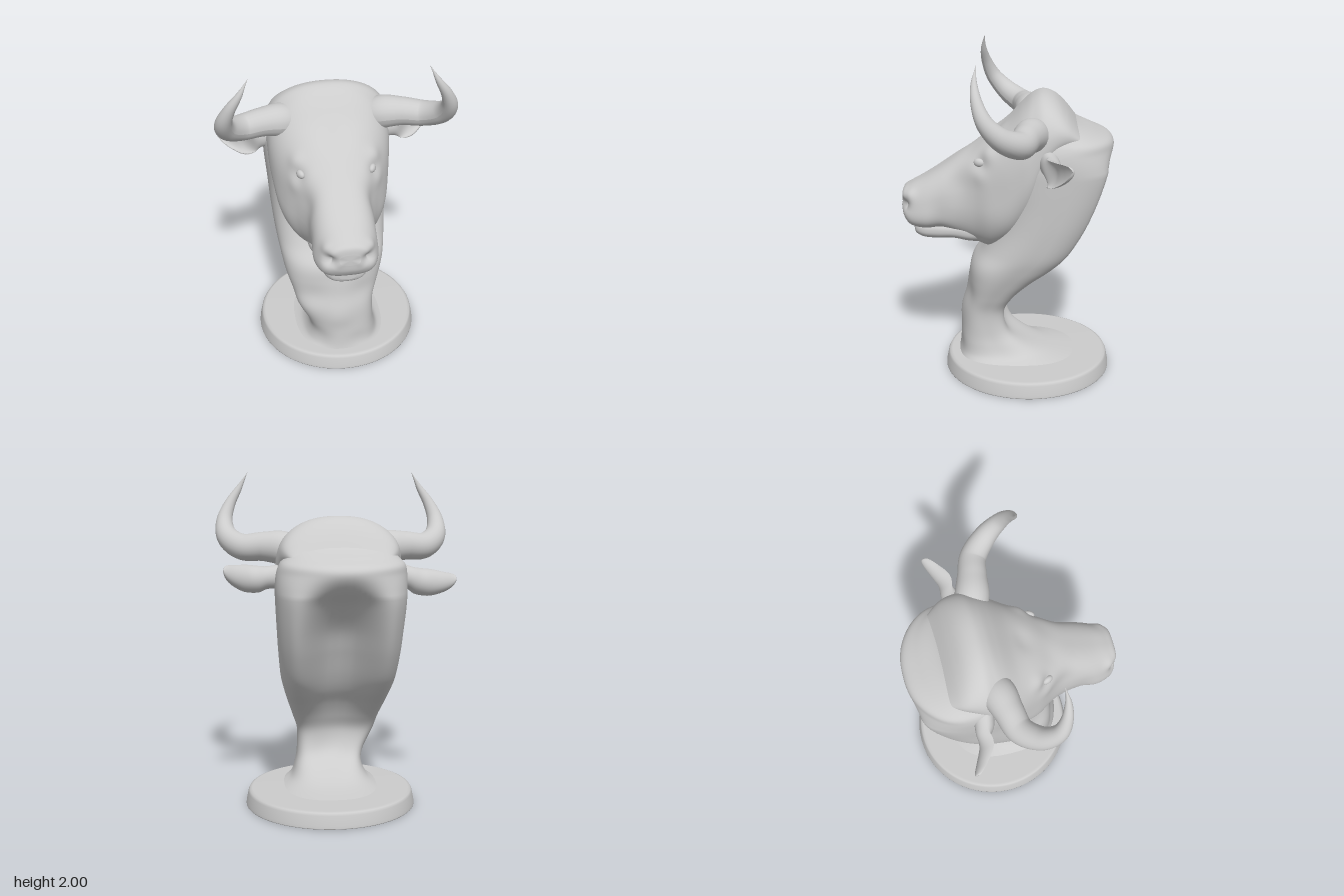
import * as THREE from 'three';

const material = new THREE.MeshStandardMaterial({ color: 0xcccccc, roughness: 0.75 });
const V = (x, y, z) => new THREE.Vector3(x, y, z);

// Smoothly interpolate a table of section rows at t in 0..1
function sample(rows, t) {
  const f = t * (rows.length - 1), i = Math.min(Math.floor(f), rows.length - 2), u = f - i;
  const at = k => rows[Math.max(0, Math.min(rows.length - 1, k))];
  return rows[0].map((_, c) => {
    const p0 = at(i - 1)[c], p1 = at(i)[c], p2 = at(i + 1)[c], p3 = at(i + 2)[c];
    return p1 + 0.5 * u * (p2 - p0 + u * (2 * p0 - 5 * p1 + 4 * p2 - p3 + u * (3 * (p1 - p2) + p3 - p0)));
  });
}

// Skin closed rings, cap both ends, and turn the faces outward
function loft(rings) {
  const n = rings[0].length, pos = [], idx = [];
  rings.forEach(r => r.forEach(p => pos.push(p.x, p.y, p.z)));
  for (let i = 0; i < rings.length - 1; i++) {
    for (let j = 0; j < n; j++) {
      const a = i * n + j, b = i * n + (j + 1) % n;
      idx.push(a, b, a + n, b, b + n, a + n);
    }
  }
  [0, rings.length - 1].forEach((k, end) => {
    const c = V(0, 0, 0), ci = pos.length / 3;
    rings[k].forEach(p => c.addScaledVector(p, 1 / n));
    pos.push(c.x, c.y, c.z);
    for (let j = 0; j < n; j++) {
      const a = k * n + j, b = k * n + (j + 1) % n;
      if (end) idx.push(ci, a, b); else idx.push(ci, b, a);
    }
  });
  let volume = 0;
  const pt = i => V(pos[3 * i], pos[3 * i + 1], pos[3 * i + 2]);
  for (let i = 0; i < idx.length; i += 3) volume += pt(idx[i]).dot(pt(idx[i + 1]).cross(pt(idx[i + 2])));
  if (volume < 0) idx.reverse();
  const g = new THREE.BufferGeometry();
  g.setAttribute('position', new THREE.Float32BufferAttribute(pos, 3));
  g.setIndex(idx);
  g.computeVertexNormals();
  return g;
}

// Push the surface along its normals around points: [x, y, z, radius, amount], mirrored about cx
function sculpt(g, dabs, cx) {
  const p = g.attributes.position, nrm = g.attributes.normal;
  for (let i = 0; i < p.count; i++) {
    const v = V().fromBufferAttribute(p, i), d = V().fromBufferAttribute(nrm, i);
    let s = 0;
    for (const [x, y, z, r, amount] of dabs) {
      s += amount * Math.exp(-V(Math.abs(v.x - cx), v.y, v.z).distanceToSquared(V(x, y, z)) / (r * r));
    }
    v.addScaledVector(d, s);
    p.setXYZ(i, v.x, v.y, v.z);
  }
  g.computeVertexNormals();
  return g;
}

const power = (v, n) => Math.sign(v) * Math.pow(Math.abs(v), 2 / n);

// Upright sections along z: [z, top, bottom, half width, taper, squareness]
function headLoft(rows, cx, steps) {
  const rings = [];
  for (let i = 0; i <= steps; i++) {
    const [z, top, bottom, w, taper, n] = sample(rows, i / steps), ring = [];
    for (let j = 0; j < 96; j++) {
      const a = j / 96 * Math.PI * 2, s = power(Math.sin(a), n);
      ring.push(V(cx + w * power(Math.cos(a), n) * (1 + taper * s), (top + bottom) / 2 + s * (top - bottom) / 2, z));
    }
    rings.push(ring);
  }
  return loft(rings);
}

// Level sections up the neck, scooped out behind: [y, cx, half width, front z, back z, hollow, rear taper]
function neckLoft(rows, steps) {
  const rings = [];
  for (let i = 0; i <= steps; i++) {
    const [y, cx, w, zf, zb, hollow, taper] = sample(rows, i / steps), ring = [];
    for (let j = 0; j < 96; j++) {
      const a = j / 96 * Math.PI * 2, n = Math.sin(a) > 0 ? 2.5 : 2.5 + THREE.MathUtils.clamp(hollow * 8, 0, 1);
      const u = power(Math.cos(a), n), s = power(Math.sin(a), n);
      let z = (zf + zb) / 2 + s * (zf - zb) / 2;
      if (s < 0) z += hollow * Math.pow(Math.max(0, 1 - (u / 0.9) ** 2), 1.7);
      ring.push(V(cx + w * u * (1 - taper * Math.min(0, s) ** 2), y, z));
    }
    rings.push(ring);
  }
  return loft(rings);
}

// Tapered horn: a unit tube shrunk towards its path, its root buried in the skull
function hornGeometry(side) {
  const path = new THREE.CatmullRomCurve3([
    [0.2, 1.515, -0.19], [0.3, 1.56, -0.145], [0.42, 1.57, -0.115], [0.54, 1.565, -0.08], [0.63, 1.62, 0.02],
    [0.648, 1.71, 0.105], [0.615, 1.81, 0.15], [0.555, 1.91, 0.168], [0.505, 2.0, 0.16],
  ].map(([x, y, z]) => V(side * x, y, z)));
  const radii = [[0.085], [0.1], [0.086], [0.078], [0.068], [0.053], [0.037], [0.021], [0.001]];
  const g = new THREE.TubeGeometry(path, 64, 1, 24), p = g.attributes.position;
  for (let i = 0; i < p.count; i++) {
    const t = Math.floor(i / 25) / 64, c = path.getPointAt(t), v = V().fromBufferAttribute(p, i);
    v.sub(c).multiplyScalar(sample(radii, t)[0]).add(c);
    p.setXYZ(i, v.x, v.y, v.z);
  }
  g.computeVertexNormals();
  return g;
}

// Cupped leaf-shaped ear with a rounded tip, measured from its root: [x, y, z, half height]
function earGeometry(side) {
  const rows = [[-0.06, 0.01, 0.02, 0.075], [0.03, 0.005, 0.005, 0.066], [0.09, -0.006, -0.008, 0.078],
    [0.16, 0, -0.035, 0.08], [0.215, 0.015, -0.067, 0.067], [0.258, 0.035, -0.095, 0.05],
    [0.28, 0.05, -0.11, 0.03], [0.288, 0.056, -0.115, 0.002]];
  const rings = [];
  for (let i = 0; i <= 48; i++) {
    const [x, y, z, a] = sample(rows, i / 48), cup = THREE.MathUtils.smoothstep(i / 48, 0.12, 0.4), ring = [];
    for (let j = 0; j < 32; j++) {
      const q = j / 32 * Math.PI * 2, c = Math.cos(q);
      const depth = c > 0 ? THREE.MathUtils.lerp(0.7, -0.65, cup) * c : c;
      ring.push(V(side * x, y + a * Math.sin(q), z + a * (depth + 0.55 * cup)));
    }
    rings.push(ring);
  }
  return loft(rings);
}

export function createModel() {
  const model = new THREE.Group();
  const add = (name, geometry) => {
    const mesh = new THREE.Mesh(geometry, material);
    mesh.name = name;
    model.add(mesh);
    return mesh;
  };

  // Round plinth with a softened rim
  const plinth = add('plinth', new THREE.LatheGeometry([[0, 0], [0.515, 0], [0.515, 0.004], [0.513, 0.02],
    [0.502, 0.075], [0.494, 0.09], [0.478, 0.096], [0, 0.098]].map(([x, y]) => new THREE.Vector2(x, y)), 96));
  plinth.position.set(0.025, 0, -0.125);

  // Neck leaning back from a flared foot to the poll
  const neck = neckLoft([
    [0.085, 0.02, 0.31, 0.31, -0.5, 0, 0], [0.125, 0.02, 0.24, 0.303, -0.26, 0, 0], [0.2, 0.02, 0.208, 0.295, -0.11, 0.03, 0],
    [0.28, 0.005, 0.21, 0.285, -0.03, 0.05, 0], [0.4, -0.025, 0.24, 0.277, -0.012, 0.06, 0], [0.5, -0.025, 0.268, 0.258, -0.07, 0.08, 0.03],
    [0.6, -0.025, 0.298, 0.243, -0.175, 0.13, 0.06], [0.7, -0.022, 0.325, 0.22, -0.32, 0.2, 0.1], [0.8, -0.02, 0.345, 0.15, -0.425, 0.25, 0.13],
    [0.95, -0.02, 0.36, 0.08, -0.52, 0.28, 0.16], [1.1, -0.02, 0.37, 0.05, -0.59, 0.28, 0.18], [1.25, -0.022, 0.38, 0.05, -0.64, 0.2, 0.2],
    [1.35, -0.022, 0.383, 0.04, -0.65, 0.08, 0.21], [1.43, -0.025, 0.378, 0.01, -0.64, 0.01, 0.21], [1.485, -0.028, 0.362, -0.04, -0.617, 0, 0.18],
    [1.525, -0.025, 0.33, -0.08, -0.53, 0, 0.14], [1.58, -0.02, 0.3, -0.1, -0.41, 0, 0.1], [1.66, -0.02, 0.2, -0.12, -0.33, 0, 0.1],
  ], 110);
  add('neck', sculpt(neck, [[0, 0.34, 0.28, 0.09, 0.014], [0.15, 0.5, 0.22, 0.09, -0.014],
    [0.22, 0.68, 0.12, 0.11, 0.012], [0.12, 0.15, 0.28, 0.07, -0.01]], -0.02));

  // Skull and upper muzzle, with nostrils, eye sockets, brows and cheeks modelled in
  const head = headLoft([
    [0.645, 1.11, 1.04, 0.06, 0, 2.5], [0.635, 1.155, 0.985, 0.112, -0.06, 2.8], [0.59, 1.185, 0.93, 0.152, -0.18, 2.8],
    [0.5, 1.235, 0.912, 0.183, -0.17, 2.8], [0.4, 1.3, 0.915, 0.19, -0.1, 2.8], [0.3, 1.37, 0.875, 0.198, -0.02, 2.8],
    [0.2, 1.44, 0.835, 0.235, 0.01, 2.8], [0.1, 1.51, 0.805, 0.292, 0, 2.7], [0, 1.585, 0.85, 0.338, 0, 2.6],
    [-0.09, 1.68, 0.93, 0.363, 0, 2.5], [-0.15, 1.732, 1.02, 0.37, -0.02, 2.4], [-0.21, 1.752, 1.2, 0.37, -0.03, 2.3],
    [-0.28, 1.728, 1.34, 0.355, -0.03, 2.2], [-0.35, 1.66, 1.42, 0.33, 0, 2.2], [-0.43, 1.55, 1.47, 0.28, 0, 2.2],
  ], -0.018, 130);
  add('head', sculpt(head, [
    [0.105, 1.07, 0.61, 0.036, -0.06], [0.12, 1.125, 0.585, 0.04, 0.014], [0.06, 1.05, 0.63, 0.025, 0.006],
    [0.24, 1.365, 0.165, 0.05, -0.014], [0.245, 1.43, 0.12, 0.055, 0.018], [0.2, 1.23, 0.28, 0.09, -0.014],
    [0.27, 1.05, 0.07, 0.13, 0.012], [0.1, 1.42, 0.22, 0.08, -0.008], [0, 1.52, 0.07, 0.06, -0.01],
    [0.18, 1.03, 0.4, 0.07, -0.008], [0.25, 1.29, 0.16, 0.05, 0.008]], -0.02));

  // Lower jaw tucked beneath the upper lip
  add('lowerJaw', headLoft([
    [0.575, 0.945, 0.885, 0.05, 0, 2.4], [0.56, 0.955, 0.862, 0.095, 0, 2.4], [0.51, 0.965, 0.842, 0.125, 0, 2.4],
    [0.43, 0.97, 0.838, 0.14, 0, 2.4], [0.33, 0.97, 0.843, 0.155, 0, 2.4], [0.22, 0.98, 0.828, 0.18, 0, 2.4], [0.1, 1.0, 0.83, 0.18, 0, 2.4],
  ], -0.02, 50));

  for (const side of [1, -1]) {
    const label = side > 0 ? 'left' : 'right';
    add(label + 'Horn', hornGeometry(side));
    const ear = add(label + 'Ear', earGeometry(side));
    ear.position.set(side * 0.365 - (side < 0 ? 0.03 : 0), 1.395, -0.25);
    if (side < 0) ear.rotation.z = 0.22;
    // Eyeball sunk into its socket
    const eye = add(label + 'Eye', new THREE.SphereGeometry(0.034, 24, 16));
    eye.scale.set(0.6, 0.75, 1);
    eye.position.set(side * 0.211 - 0.02, 1.365, 0.165);
    eye.rotation.y = side * -0.45;
  }
  return model;
}
